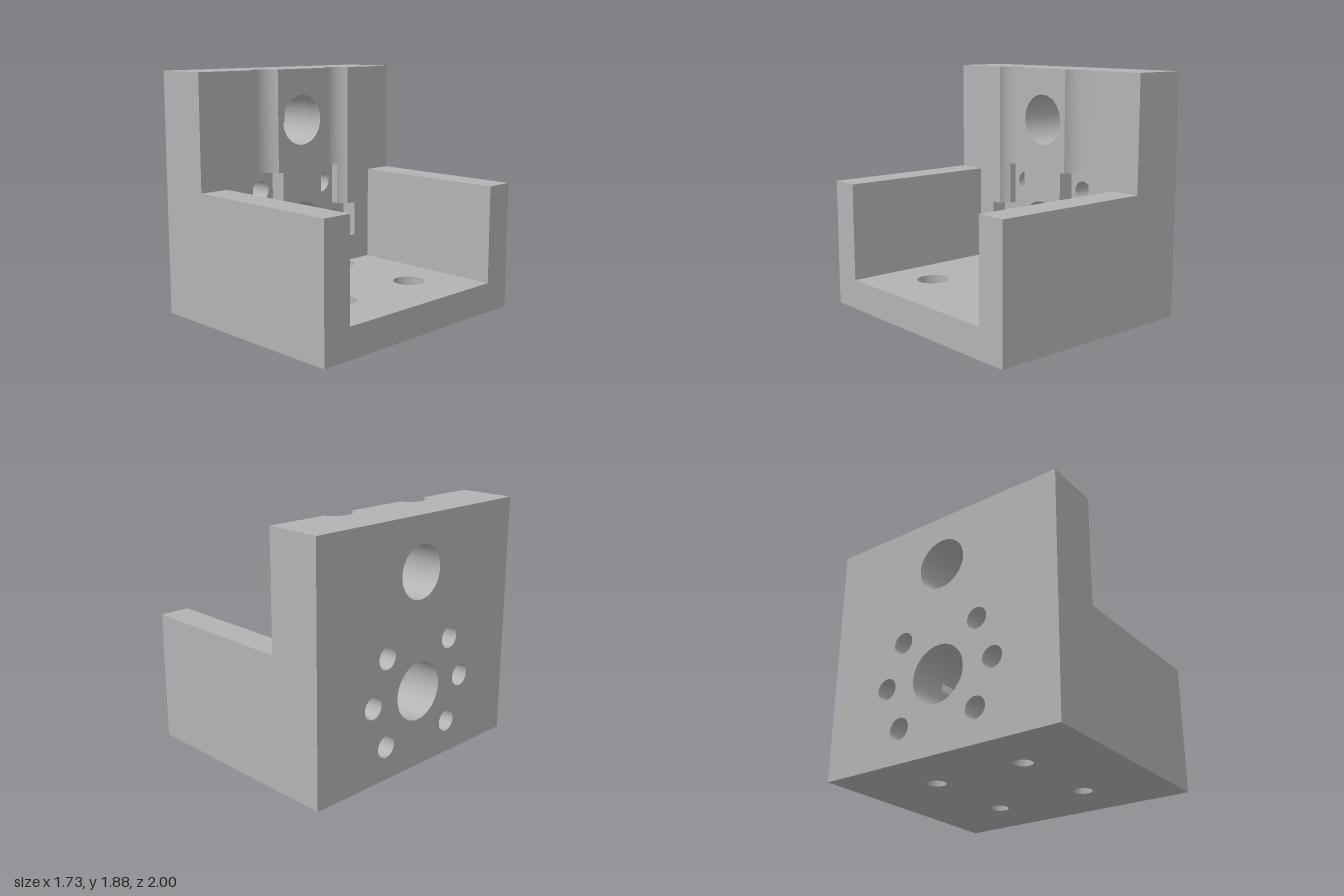
import * as THREE from 'three';
import { toCreasedNormals } from 'three/addons/utils/BufferGeometryUtils.js';

// Main dimensions
const BACK = -0.865, FRONT = 0.865, POCKET = -0.56, WALL = -0.43, LIP = -0.40;
const TOP = 1.88, FLOOR = 0.235, HALF = 1;
const POCKET_IN = 0.205, POCKET_OUT = 0.46, EAR_OUT = 0.6;
const BOLT_X = -0.385, BOLT_Z = 0.383, BOLT_R = 0.07, BORE_R = 0.125, GROOVE_R = 0.14;
const SHAFT_Y = 0.59, SHAFT_R = 0.223;

// Points along a circular arc
function arc(cx, cy, r, a0, a1, n = 24) {
  return Array.from({ length: n + 1 }, (_, i) => {
    const a = a0 + (a1 - a0) * i / n;
    return [cx + r * Math.cos(a), cy + r * Math.sin(a)];
  });
}

// Shape from points, with round holes given as [x, y, radius]
function outline(points, holes = []) {
  const shape = new THREE.Shape(points.map(([a, b]) => new THREE.Vector2(a, b)));
  for (const [x, y, r] of holes) {
    shape.holes.push(new THREE.Path().absarc(x, y, r, 0, Math.PI * 2, false));
  }
  return shape;
}

const rect = (a0, b0, a1, b1) => [[a0, b0], [a1, b0], [a1, b1], [a0, b1]];

export function createModel() {
  const group = new THREE.Group();
  const grey = new THREE.MeshStandardMaterial({ color: 0xb3b3b3 });
  grey.name = 'greyMetal';

  function extrude(name, shape, depth, place) {
    let geo = new THREE.ExtrudeGeometry(shape, { depth, bevelEnabled: false, curveSegments: 24 });
    place(geo);
    geo = toCreasedNormals(geo, 0.5);
    const mesh = new THREE.Mesh(geo, grey);
    mesh.name = name;
    group.add(mesh);
  }
  // Slab across x (outline in z, y) and slab across y (outline in x, z)
  const slabX = (name, shape, x0, x1) =>
    extrude(name, shape, x1 - x0, g => g.rotateY(Math.PI / 2).translate(x0, 0, 0));
  const slabY = (name, shape, y0, y1) =>
    extrude(name, shape, y1 - y0, g => g.rotateX(-Math.PI / 2).translate(0, y0, 0));

  // Rear plate with two large bores and six screw holes
  const rearHoles = [[0, SHAFT_Y, SHAFT_R], [0, 1.475, 0.2]];
  for (const s of [-1, 1]) {
    rearHoles.push([s * 0.333, 0.922, 0.083], [s * 0.47, SHAFT_Y, 0.083], [s * 0.333, 0.258, 0.083]);
  }
  slabX('rearPlate', outline(rect(-HALF, 0, HALF, TOP), rearHoles), BACK, POCKET);

  // Base in three levels: through holes, pocket floor, counterbores
  const boltHoles = (x, r) => [[x, -BOLT_Z, r], [x, BOLT_Z, r]];
  const frontBolts = r => boltHoles(-BOLT_X, r);
  slabY('baseBottom', outline(rect(POCKET, -HALF, FRONT, HALF),
    [...boltHoles(BOLT_X, BOLT_R), ...frontBolts(BOLT_R)]), 0, 0.11);

  // Base outline with one pocket notch on each side of the middle
  function notchedBase(notch) {
    const mirrored = notch.map(([x, z]) => [x, -z]).reverse();
    return [[FRONT, -HALF], [FRONT, HALF], [POCKET, HALF], ...notch, ...mirrored, [POCKET, -HALF]];
  }
  const smallA = Math.acos((LIP - BOLT_X) / BOLT_R);
  slabY('baseMiddle', outline(notchedBase([
    [POCKET, POCKET_OUT], [LIP, POCKET_OUT],
    ...arc(BOLT_X, BOLT_Z, BOLT_R, smallA, -smallA),
    [LIP, POCKET_IN], [POCKET, POCKET_IN],
  ]), frontBolts(BOLT_R)), 0.11, 0.135);
  slabY('baseTop', outline(notchedBase([
    [POCKET, POCKET_OUT],
    ...arc(BOLT_X, BOLT_Z, BORE_R, Math.PI - Math.asin((POCKET_OUT - BOLT_Z) / BORE_R),
      -Math.acos((LIP - BOLT_X) / BORE_R), 36),
    [LIP, POCKET_IN], [POCKET, POCKET_IN],
  ]), frontBolts(BORE_R)), 0.135, FLOOR);

  // Centre of the wall, above and below the shaft bore
  const a = Math.acos(POCKET_IN / SHAFT_R);
  slabX('wallCentreLower', outline([
    [-POCKET_IN, FLOOR], [POCKET_IN, FLOOR],
    ...arc(0, SHAFT_Y, SHAFT_R, -a, -Math.PI + a),
  ]), POCKET, WALL);
  slabX('wallCentreUpper', outline([
    [POCKET_IN, TOP], [-POCKET_IN, TOP],
    ...arc(0, SHAFT_Y, SHAFT_R, Math.PI - a, a),
  ], [[0, 1.475, 0.2]]), POCKET, WALL);

  // Wall sides with screwdriver grooves and stepped pockets, and the side walls
  const g0 = Math.acos((WALL - BOLT_X) / GROOVE_R);
  const g1 = Math.PI - Math.asin((POCKET_OUT - BOLT_Z) / GROOVE_R);
  for (const s of [-1, 1]) {
    const side = points => outline(points.map(([x, z]) => [x, z * s]));
    slabY('wallSideUpper', side([
      [POCKET, HALF], [WALL, HALF],
      ...arc(BOLT_X, BOLT_Z, GROOVE_R, g0, 2 * Math.PI - g0),
      [WALL, POCKET_IN], [POCKET, POCKET_IN],
    ]), 1.07, TOP);
    const besidePocket = side([
      [POCKET, HALF], [WALL, HALF],
      ...arc(BOLT_X, BOLT_Z, GROOVE_R, g0, g1, 12),
      [POCKET, POCKET_OUT],
    ]);
    slabY('wallSideMiddle', besidePocket, 0.73, 1.07);
    slabY('wallSideEar', side(rect(POCKET, EAR_OUT, WALL, HALF)), 0.45, 0.73);
    slabY('wallSideLower', besidePocket, FLOOR, 0.45);
    slabY('sideWall', side(rect(WALL, 0.765, FRONT, HALF)), FLOOR, 1);
  }
  return group;
}
